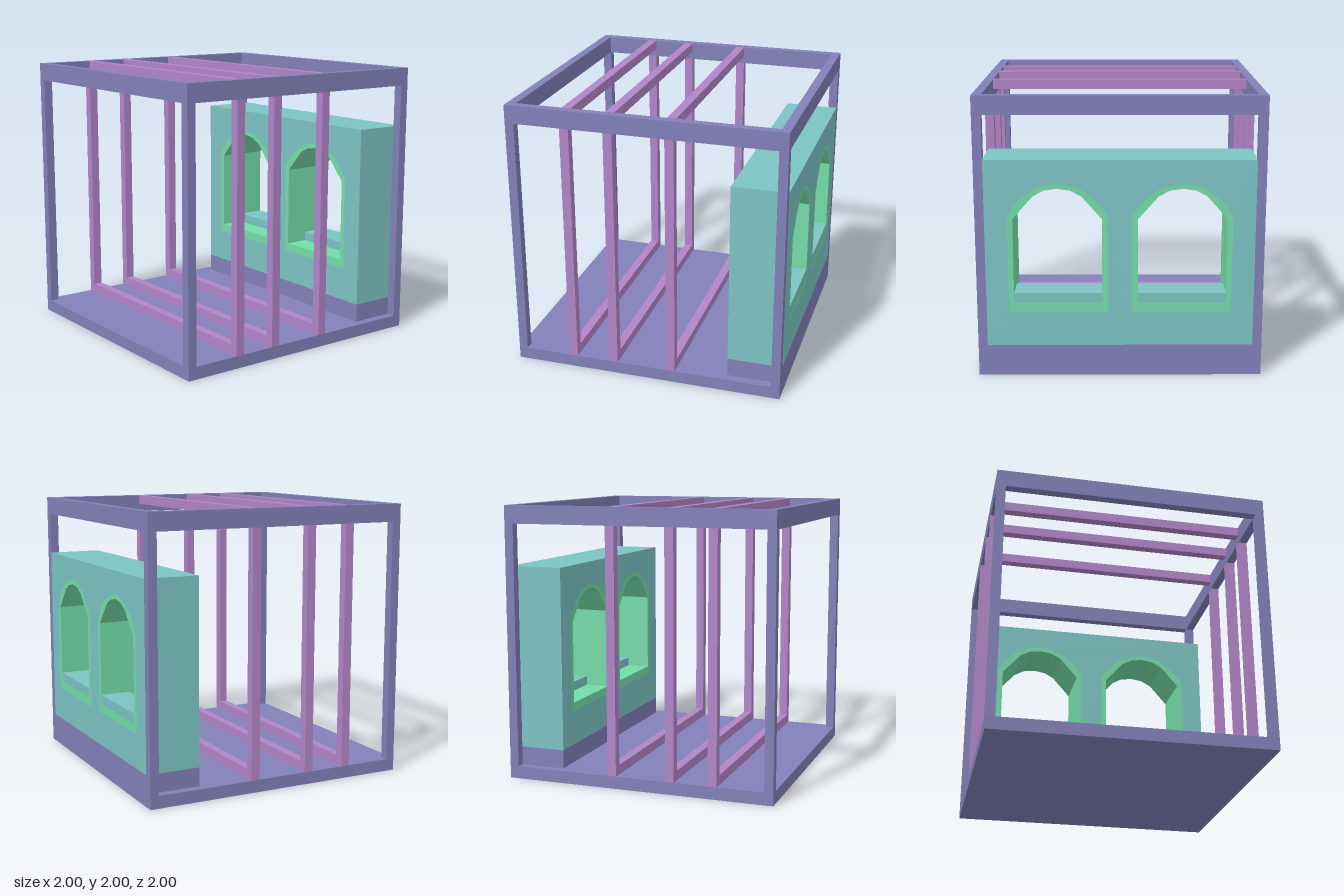
import * as THREE from 'three';

const mat = (color) => new THREE.MeshStandardMaterial({ color, flatShading: true });

export function createModel() {
  const model = new THREE.Group();
  const frameMat = mat(0x8280b8), wallMat = mat(0x7cc3c3);
  const trimMat = mat(0x74dca8), battenMat = mat(0xb285c8);
  const T = 0.065, IN = 1 - T, EDGE = 1 - T / 2;

  const group = (name) => {
    const g = new THREE.Group();
    g.name = name;
    model.add(g);
    return g;
  };
  // Box given by its min and max corners
  const box = (parent, name, material, [x0, y0, z0], [x1, y1, z1]) => {
    const m = new THREE.Mesh(new THREE.BoxGeometry(x1 - x0, y1 - y0, z1 - z0), material);
    m.position.set((x0 + x1) / 2, (y0 + y1) / 2, (z0 + z1) / 2);
    m.name = name;
    parent.add(m);
  };

  // Floor slab, corner posts and top rails
  const frame = group('frame');
  box(frame, 'floor', frameMat, [-1, 0, -1], [1, 0.09, 1]);
  for (const s of [-1, 1]) {
    const a = s * EDGE - T / 2, b = s * EDGE + T / 2;
    box(frame, 'crossRail', frameMat, [-1, 1.87, a], [1, 2, b]);
    box(frame, 'sideRail', frameMat, [a, 1.87, -IN], [b, 2, IN]);
    for (const t of [-1, 1]) {
      const c = t * EDGE - T / 2;
      box(frame, 'cornerPost', frameMat, [a, 0.09, c], [b, 1.87, c + T]);
    }
  }

  // Three slender hoops between the two sides
  for (const z of [0.563, 0.248, -0.19]) {
    const hoop = group('hoop');
    const z0 = z - 0.0325, z1 = z + 0.0325;
    box(hoop, 'lowerBeam', battenMat, [-IN, 0.09, z0], [IN, 0.16, z1]);
    box(hoop, 'upperBeam', battenMat, [-IN, 1.93, z0], [IN, 2, z1]);
    for (const s of [-1, 1]) {
      const x = s * EDGE - T / 2;
      box(hoop, 'upright', battenMat, [x, 0.09, z0], [x + T, 1.87, z1]);
    }
  }

  // Arched outline from half-profile points, mirrored about the window centre
  const arch = (cx, half, PathType = THREE.Shape) => {
    const right = half.map(([x, y]) => new THREE.Vector2(cx + x, y));
    const left = half.filter(([x]) => x > 0).reverse().map(([x, y]) => new THREE.Vector2(cx - x, y));
    const path = new PathType();
    path.setFromPoints([...right, ...left]);
    path.closePath();
    return path;
  };
  const opening = [[0.308, 0.54], [0.308, 1.145], [0.168, 1.305], [0.09, 1.347], [0, 1.36]];
  const surround = [[0.346, 0.475], [0.346, 1.165], [0.318, 1.212], [0.255, 1.287],
    [0.178, 1.345], [0.092, 1.38], [0, 1.392]];
  const centres = [-0.432, 0.432];
  const extrude = (parent, name, shape, material) => {
    const geo = new THREE.ExtrudeGeometry(shape, { depth: 0.4, bevelEnabled: false });
    const m = new THREE.Mesh(geo, material);
    m.position.z = -1;
    m.name = name;
    parent.add(m);
  };

  // Thick rear wall on its plinth, cut for two windows
  const wall = group('wall');
  box(wall, 'plinth', frameMat, [-IN, 0.09, -1], [IN, 0.225, -0.6]);
  const wallShape = new THREE.Shape();
  wallShape.setFromPoints([[-IN, 0.225], [IN, 0.225], [IN, 1.56], [-IN, 1.56]]
    .map(([x, y]) => new THREE.Vector2(x, y)));
  wallShape.closePath();
  for (const cx of centres) wallShape.holes.push(arch(cx, surround, THREE.Path));
  extrude(wall, 'wallBody', wallShape, wallMat);

  // Flush arched window linings with a raised sill at the back
  for (const cx of centres) {
    const win = group('window');
    const lining = arch(cx, surround);
    lining.holes.push(arch(cx, opening, THREE.Path));
    extrude(win, 'lining', lining, trimMat);
    box(win, 'sill', wallMat, [cx - 0.308, 0.54, -1], [cx + 0.308, 0.61, -0.78]);
  }
  return model;
}
